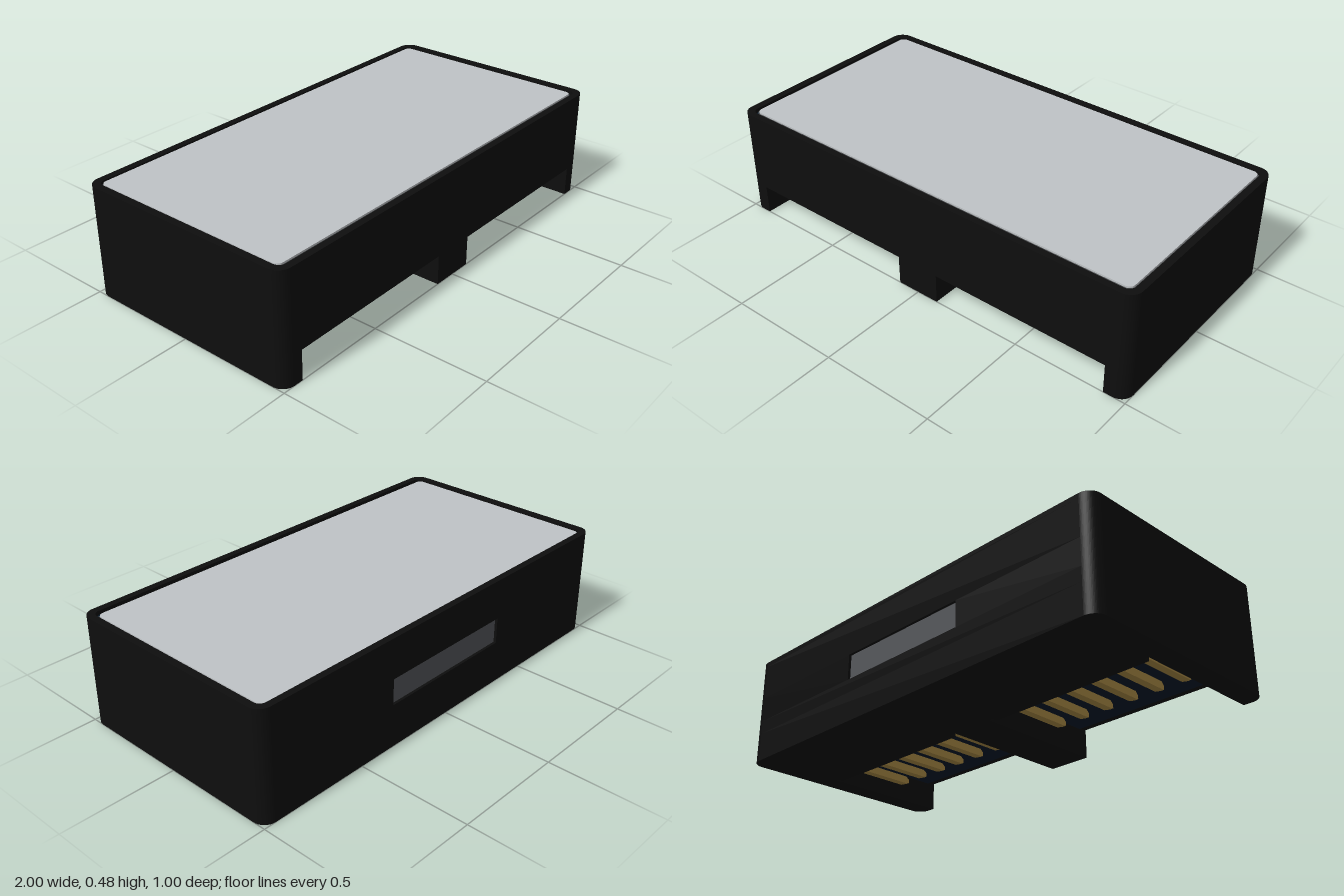
import * as THREE from 'three';

const mat = (name, color) => {
  const m = new THREE.MeshStandardMaterial({ color });
  m.name = name;
  return m;
};

// Rounded rectangle running counter-clockwise, with optional cuts [x0, x1, y] in the front and back edges.
// Shape y points to the back, so it equals -z.
function outline(w, d, r, frontCuts = [], backCuts = [], Type = THREE.Shape) {
  const s = new Type();
  const x = w / 2, y = d / 2;
  s.moveTo(-x + r, -y);
  for (const [a, b, c] of frontCuts) {
    s.lineTo(a, -y); s.lineTo(a, c); s.lineTo(b, c); s.lineTo(b, -y);
  }
  s.lineTo(x - r, -y);
  s.absarc(x - r, -y + r, r, -Math.PI / 2, 0);
  s.absarc(x - r, y - r, r, 0, Math.PI / 2);
  for (const [a, b, c] of backCuts) {
    s.lineTo(b, y); s.lineTo(b, c); s.lineTo(a, c); s.lineTo(a, y);
  }
  s.absarc(-x + r, y - r, r, Math.PI / 2, Math.PI);
  s.absarc(-x + r, -y + r, r, Math.PI, Math.PI * 1.5);
  return s;
}

// Extrudes a footprint upward from y0 to y1
function layer(shape, y0, y1) {
  const g = new THREE.ExtrudeGeometry(shape, { depth: y1 - y0, bevelEnabled: false, curveSegments: 8 });
  g.rotateX(-Math.PI / 2);
  g.translate(0, y0, 0);
  return g;
}

export function createModel() {
  const model = new THREE.Group();
  model.name = 'displayModule';
  const black = mat('black plastic', 0x0e0e0e);
  const grey = mat('screen grey', 0xc0c4c7);
  const blue = mat('board blue', 0x051a2c);
  const gold = mat('pin gold', 0xb08f47);
  const metal = mat('port grey', 0x55575b);
  const border = mat('screen border grey', 0x55585a);

  const add = (name, geo, material, parent = model) => {
    const m = new THREE.Mesh(geo, material);
    m.name = name;
    parent.add(m);
    return m;
  };
  const box = (name, material, [x0, x1], [y0, y1], [z0, z1], parent) => {
    const m = add(name, new THREE.BoxGeometry(x1 - x0, y1 - y0, z1 - z0), material, parent);
    m.position.set((x0 + x1) / 2, (y0 + y1) / 2, (z0 + z1) / 2);
    return m;
  };

  // Case: stacked layers with connector bays below, a port slot behind and an open rim on top
  const W = 2, D = 1, R = 0.055, H = 0.483;
  const bayTop = 0.13, rimBase = 0.462;
  const bays = [[-0.905, -0.1, 0.1], [0.1, 0.905, 0.1]];
  const slot = [[-0.325, 0.325, 0.48]];
  add('caseBase', layer(outline(W, D, R, bays), 0, bayTop), black);
  add('caseLower', layer(outline(W, D, R), bayTop, 0.19), black);
  add('casePortLayer', layer(outline(W, D, R, [], slot), 0.19, 0.305), black);
  add('caseUpper', layer(outline(W, D, R), 0.305, rimBase), black);
  const rim = outline(W, D, R);
  rim.holes.push(outline(1.935, 0.94, 0.03, [], [], THREE.Path));
  add('caseRim', layer(rim, rimBase, H), black);

  // Port plate, slightly recessed in the back wall
  box('portPlate', metal, [-0.325, 0.325], [0.19, 0.305], [-0.488, -0.479]);

  // Screen with its edge and the board showing along the front
  add('screenBoard', layer(outline(1.93, 0.936, 0.03), rimBase, 0.466), blue);
  const edge = add('screenBorder', layer(outline(1.93, 0.922, 0.025), 0.466, 0.471), border);
  edge.position.z = -0.007;
  const screen = add('screen', layer(outline(1.915, 0.92, 0.025), 0.471, 0.478), grey);
  screen.position.z = -0.007;

  // Pin connectors, one in each bay
  const pitch = 0.128, pinY = 0.065, pinW = 0.034;
  for (const [side, cx] of [['right', -0.502], ['left', 0.51]]) {
    const conn = new THREE.Group();
    conn.name = side + 'Connector';
    model.add(conn);
    const half = pitch * 3;
    box('boardUnderside', blue, side === 'left' ? [0.1, 0.905] : [-0.905, -0.1], [0.124, bayTop], [-0.1, 0.46], conn);
    box('pinHousing', black, [cx - half, cx + half], [0, 0.124], [-0.2, -0.075], conn);
    for (let i = 0; i < 6; i++) {
      const x = cx + (i - 2.5) * pitch;
      box('pin', gold, [x - pinW / 2, x + pinW / 2], [pinY - pinW / 2, pinY + pinW / 2], [-0.08, 0.24], conn);
      // Tapered square tip
      const tip = new THREE.CylinderGeometry(pinW * 0.35, pinW * Math.SQRT1_2, 0.025, 4, 1).toNonIndexed();
      tip.computeVertexNormals();
      tip.rotateY(Math.PI / 4);
      tip.rotateX(Math.PI / 2);
      add('pinTip', tip, gold, conn).position.set(x, pinY, 0.2525);
    }
  }
  return model;
}
